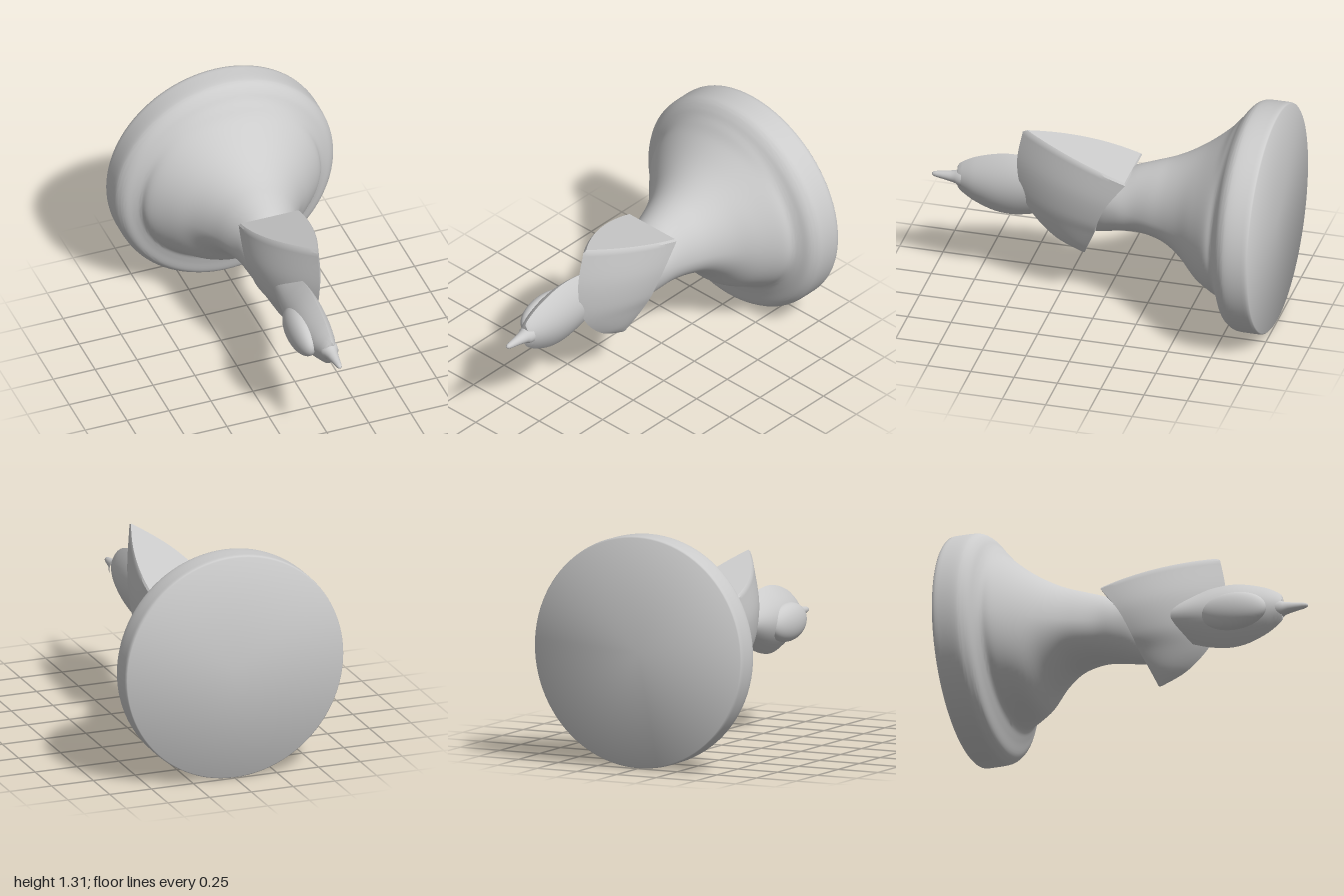
import * as THREE from 'three';
import { toCreasedNormals } from 'three/addons/utils/BufferGeometryUtils.js';

const material = new THREE.MeshStandardMaterial({ color: 0xcccccc });

// Skin a list of closed rings (arrays of [x, y, z]) and cap both ends.
function loft(rings, crease) {
  const n = rings[0].length;
  const pos = rings.flat(2);
  const index = [];
  for (let i = 0; i < rings.length - 1; i++) {
    for (let j = 0; j < n; j++) {
      const k = (j + 1) % n;
      const a = i * n + j, b = i * n + k, c = a + n, d = b + n;
      index.push(a, b, c, b, d, c);
    }
  }
  const cap = (ring, start, flip) => {
    const m = [0, 1, 2].map((k) => ring.reduce((s, p) => s + p[k], 0) / n);
    const centre = pos.length / 3;
    pos.push(...m);
    for (let j = 0; j < n; j++) {
      const a = start + j, b = start + (j + 1) % n;
      if (flip) index.push(centre, b, a);
      else index.push(centre, a, b);
    }
  };
  cap(rings[0], 0, true);
  cap(rings[rings.length - 1], (rings.length - 1) * n, false);
  const geometry = new THREE.BufferGeometry();
  geometry.setAttribute('position', new THREE.Float32BufferAttribute(pos, 3));
  geometry.setIndex(index);
  return toCreasedNormals(geometry, crease);
}

// Smoothly resample rows of numbers, column by column.
function resample(rows, steps) {
  const result = [];
  for (let i = 0; i <= steps; i++) {
    const f = (i / steps) * (rows.length - 1);
    const k = Math.min(Math.floor(f), rows.length - 2), t = f - k;
    const at = (q) => rows[Math.max(0, Math.min(rows.length - 1, q))];
    result.push(rows[k].map((p1, c) => {
      const p0 = at(k - 1)[c], p2 = at(k + 1)[c], p3 = at(k + 2)[c];
      const m1 = (p2 - p0) / 2, m2 = (p3 - p1) / 2;
      return p1 + m1 * t + (3 * (p2 - p1) - 2 * m1 - m2) * t * t + (2 * (p1 - p2) + m1 + m2) * t ** 3;
    }));
  }
  return result;
}

const turn = (n, fn) => Array.from({ length: n }, (_, j) => fn((j / n) * Math.PI * 2));

// Round wall plate flowing into the neck: z, top y, bottom y, half width
function baseGeometry() {
  const rows = [
    [-0.98, 1.31, 0.002, 0.653], [-0.87, 1.308, 0.004, 0.652], [-0.83, 1.295, 0.02, 0.637],
    [-0.8, 1.265, 0.05, 0.61], [-0.775, 1.23, 0.13, 0.565], [-0.75, 1.2, 0.19, 0.535],
    [-0.7, 1.14, 0.22, 0.51], [-0.6, 1.055, 0.265, 0.42], [-0.5, 0.99, 0.375, 0.33],
    [-0.4, 0.94, 0.45, 0.265], [-0.3, 0.905, 0.478, 0.22], [-0.2, 0.87, 0.48, 0.185],
    [-0.1, 0.83, 0.465, 0.17], [0, 0.82, 0.44, 0.15], [0.06, 0.8, 0.43, 0.12],
  ];
  const sections = [[-1, 1.3, 0.01, 0.645], [-0.995, 1.307, 0.004, 0.65], ...resample(rows, 70)];
  const rings = sections.map(([z, top, bottom, w]) => turn(96, (a) => {
    const s = Math.sin(a);
    return [w * Math.cos(a), 0.655 + s * (s > 0 ? top - 0.655 : 0.655 - bottom), z];
  }));
  return loft(rings, 0.9);
}

// Keel-shaped hood: front z, front y, rear z, rear y, left edge, right edge, ridge x
function hoodGeometry() {
  const rows = [
    [0.125, 0.3, 0.1, 0.303, 0.03, 0.05, 0.04], [0.27, 0.37, 0.07, 0.38, -0.035, 0.09, 0.042],
    [0.4, 0.5, 0.03, 0.47, -0.09, 0.13, 0.045], [0.465, 0.64, 0, 0.56, -0.145, 0.165, 0.05],
    [0.49, 0.83, -0.065, 0.7, -0.18, 0.19, 0.055], [0.455, 1.03, -0.17, 0.845, -0.175, 0.19, 0.06],
  ];
  const sections = resample(rows, 30);
  sections.push([0.43, 1.042, -0.165, 0.858, -0.165, 0.18, 0.06]);
  const n = 16;
  const rings = sections.map(([fz, fy, rz, ry, left, right, ridge]) => {
    const side = (edge, t) => [
      ridge + (edge - ridge) * (1 - (1 - t) ** 2), fy + (ry - fy) * t, fz + (rz - fz) * t,
    ];
    const ring = [];
    for (let j = 0; j <= n; j++) ring.push(side(right, j / n));
    for (let j = n; j > 0; j--) ring.push(side(left, j / n));
    return ring;
  });
  return loft(rings, 0.6);
}

// Lens-section nose with a ridge above and below: z, top y, bottom y, left x, right x
function noseGeometry() {
  const rows = [
    [0.2, 0.78, 0.55, -0.11, 0.04], [0.35, 0.81, 0.49, -0.125, 0.055], [0.45, 0.828, 0.46, -0.13, 0.06],
    [0.55, 0.832, 0.446, -0.13, 0.062], [0.65, 0.815, 0.458, -0.12, 0.058],
    [0.75, 0.782, 0.497, -0.095, 0.045], [0.81, 0.75, 0.535, -0.072, 0.03], [0.84, 0.728, 0.56, -0.058, 0.02],
  ];
  const sections = resample(rows, 35);
  sections.push([0.85, 0.71, 0.575, -0.05, 0.014]);
  const rings = sections.map(([z, top, bottom, left, right]) => turn(48, (a) => {
    const v = Math.sin(a), c = Math.cos(a);
    const edge = c > 0 ? right : left;
    return [-0.012 + (edge + 0.012) * c * c, (top + bottom) / 2 + v * (top - bottom) / 2, z];
  }));
  return loft(rings, 0.7);
}

export function createModel() {
  const group = new THREE.Group();
  const add = (name, geometry) => {
    const mesh = new THREE.Mesh(geometry, material);
    mesh.name = name;
    group.add(mesh);
    return mesh;
  };

  add('baseAndNeck', baseGeometry());
  add('hood', hoodGeometry());
  add('nose', noseGeometry());

  // Swelling on the right side of the nose
  const bulge = add('noseBulge', new THREE.SphereGeometry(1, 40, 28));
  bulge.scale.set(0.075, 0.11, 0.19);
  bulge.position.set(-0.1, 0.625, 0.59);

  // Rounded spike at the very front
  const profile = [
    [0.052, 0.82], [0.048, 0.845], [0.038, 0.86], [0.031, 0.89], [0.024, 0.93],
    [0.018, 0.97], [0.013, 0.99], [0.007, 0.998], [0, 1],
  ].map(([r, z]) => new THREE.Vector2(r, z));
  const tip = add('tip', new THREE.LatheGeometry(profile, 32));
  tip.rotation.x = Math.PI / 2;
  tip.position.set(-0.015, 0.638, 0);

  return group;
}
